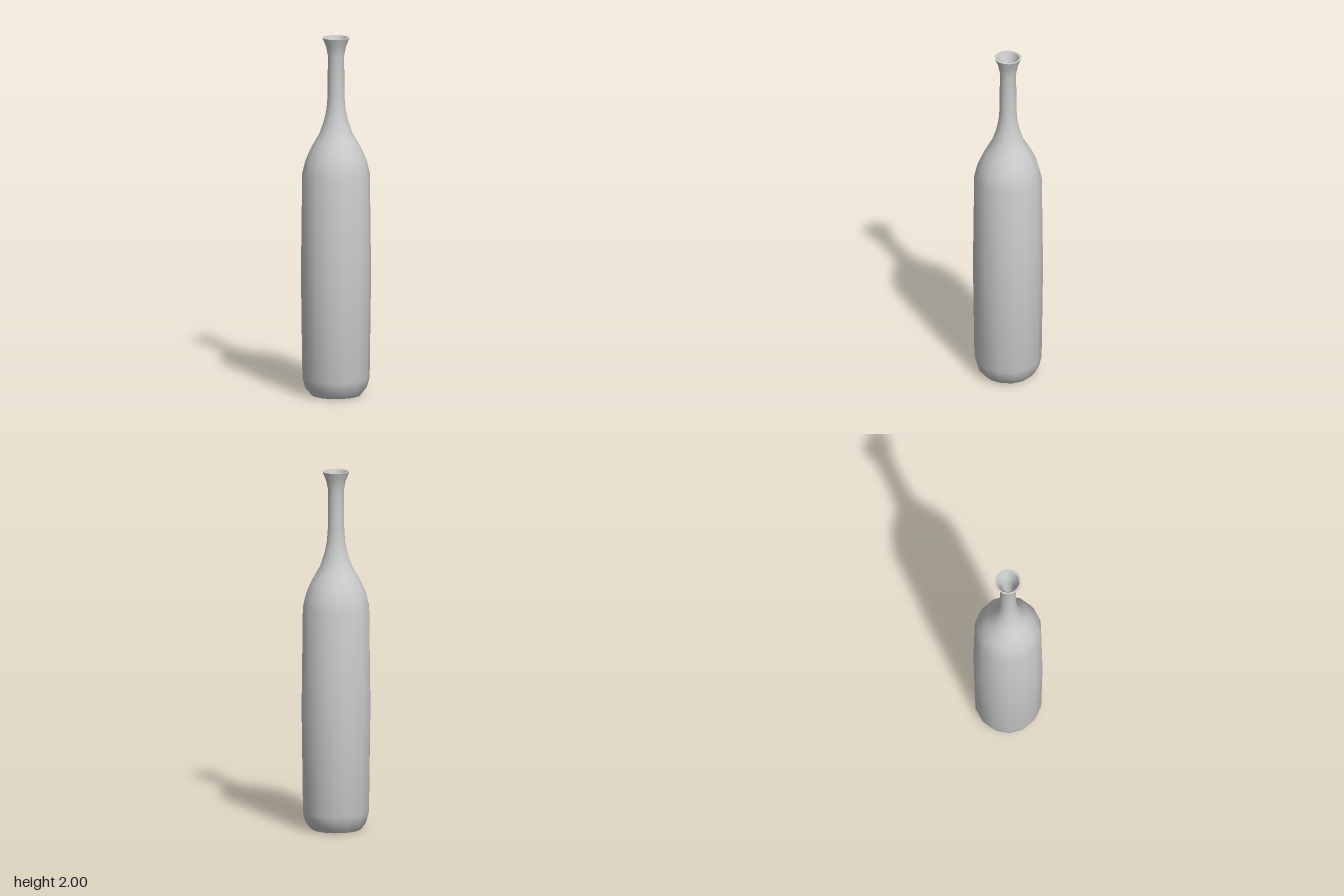
import * as THREE from 'three';
import { toCreasedNormals } from 'three/addons/utils/BufferGeometryUtils.js';

const SIDES = 14;

// Closed profile [radius, height]: base, outer wall, lip, inner wall, inner floor
const PROFILE = [
  [0, 0], [0.138, 0], [0.17, 0.04], [0.185, 0.095], [0.193, 0.68], [0.186, 1.24], [0.169, 1.31],
  [0.144, 1.37], [0.117, 1.42], [0.09, 1.466], [0.065, 1.54], [0.052, 1.6], [0.046, 1.68],
  [0.045, 1.9], [0.055, 1.95], [0.075, 2],
  [0.063, 2], [0.042, 1.95], [0.031, 1.9], [0.031, 1.65], [0.05, 1.53], [0.1, 1.42],
  [0.15, 1.31], [0.168, 1.24], [0.174, 0.68], [0.167, 0.1], [0.13, 0.03], [0, 0.03],
];

// Crack planes, each as y = a + b * x + c * z
const NECK = [1.733, 0, -0.15];
const SHOULDER = [1.437, -0.35, -0.6];
const DIAGONAL = [1.317, -2.06, 1.148];
const WAIST = [0.695, 0.21, -0.03];

const above = (plane) => ({ plane, sign: 1 });
const below = (plane) => ({ plane, sign: -1 });

// Keeps the part of a polygon on one side of a crack plane
function clip(polygon, { plane: [a, b, c], sign }) {
  const height = ({ p }) => sign * (p.y - a - b * p.x - c * p.z);
  const result = [];
  polygon.forEach((v, i) => {
    const next = polygon[(i + 1) % polygon.length];
    const h0 = height(v), h1 = height(next);
    if (h0 >= 0) result.push(v);
    if ((h0 >= 0) !== (h1 >= 0)) {
      const t = h0 / (h0 - h1);
      result.push({ p: v.p.clone().lerp(next.p, t), n: v.n.clone().lerp(next.n, t).normalize() });
    }
  });
  return result;
}

// Cuts one shard out of the whole bottle
function cutShard(source, limits) {
  const pos = source.attributes.position, nor = source.attributes.normal;
  const positions = [], normals = [];
  const area = new THREE.Triangle();
  for (let i = 0; i < pos.count; i += 3) {
    let polygon = [0, 1, 2].map((k) => ({
      p: new THREE.Vector3().fromBufferAttribute(pos, i + k),
      n: new THREE.Vector3().fromBufferAttribute(nor, i + k),
    }));
    for (const limit of limits) polygon = clip(polygon, limit);
    for (let k = 1; k + 1 < polygon.length; k++) {
      const corners = [polygon[0], polygon[k], polygon[k + 1]];
      if (area.set(...corners.map((v) => v.p)).getArea() < 1e-9) continue;
      for (const { p, n } of corners) {
        positions.push(p.x, p.y, p.z);
        normals.push(n.x, n.y, n.z);
      }
    }
  }
  const geometry = new THREE.BufferGeometry();
  geometry.setAttribute('position', new THREE.Float32BufferAttribute(positions, 3));
  geometry.setAttribute('normal', new THREE.Float32BufferAttribute(normals, 3));
  return geometry;
}

export function createModel() {
  const bottle = new THREE.Group();
  bottle.name = 'crackedBottle';
  const glass = new THREE.MeshStandardMaterial({ color: 0xcccccc });

  const points = PROFILE.map(([r, y]) => new THREE.Vector2(r, y));
  const whole = toCreasedNormals(new THREE.LatheGeometry(points, SIDES), 0.65);

  // The five shards, fitted together along the cracks
  const shards = {
    mouth: [above(NECK)],
    neck: [below(NECK), above(SHOULDER)],
    shoulderShard: [below(SHOULDER), above(DIAGONAL)],
    upperBody: [below(SHOULDER), below(DIAGONAL), above(WAIST)],
    lowerBody: [below(WAIST)],
  };
  for (const [name, limits] of Object.entries(shards)) {
    const shard = new THREE.Mesh(cutShard(whole, limits), glass);
    shard.name = name;
    bottle.add(shard);
  }
  return bottle;
}
